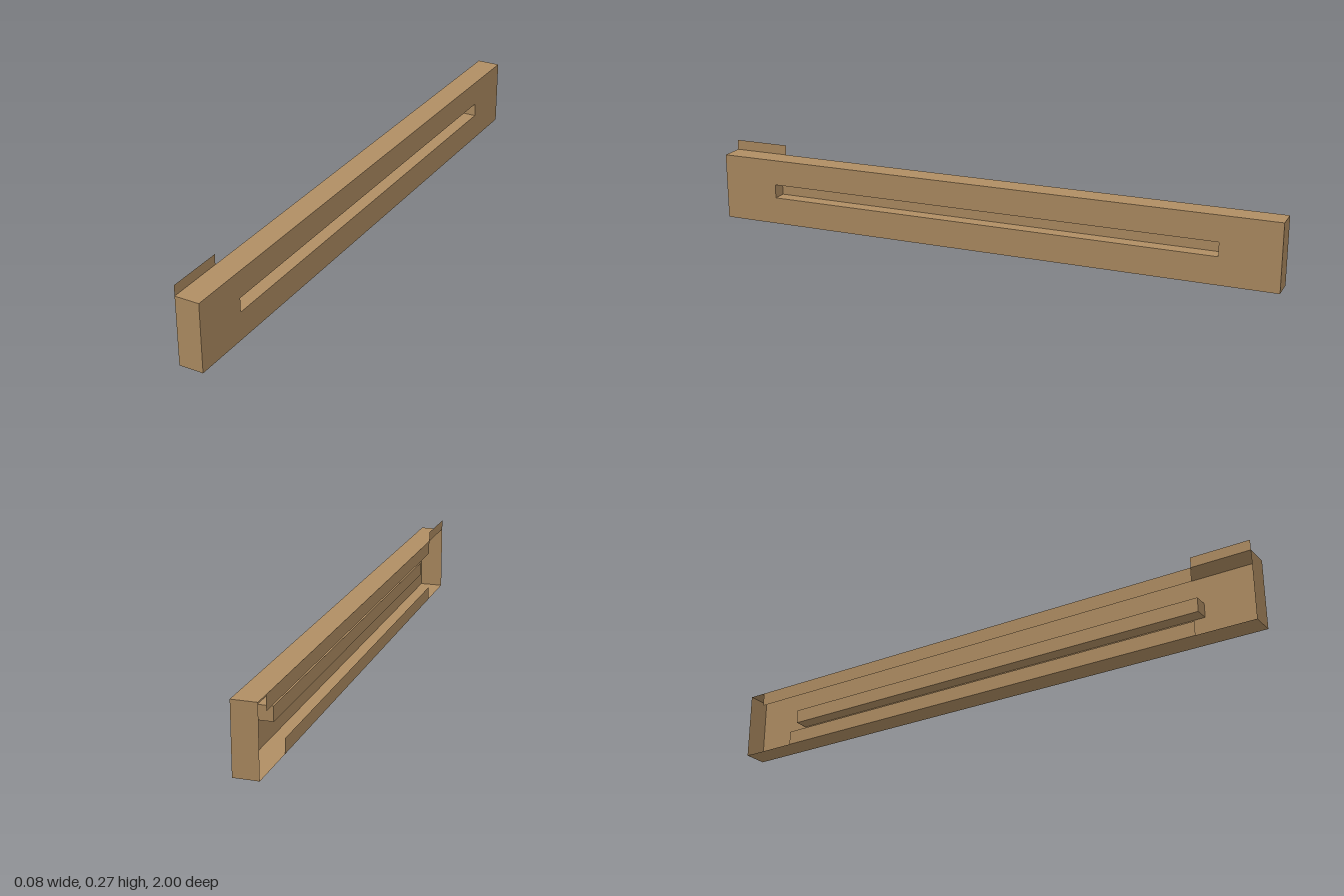
import * as THREE from 'three';

// Hollow rail: thin shell, open at the back, with a recessed slot in its face.
const X = 0.041, H = 0.232, L = 1;           // half width, height, half length
const SLOT = { y0: 0.095, y1: 0.143, z: 0.8, x: -0.008 };

export function createModel() {
  const group = new THREE.Group();
  const wood = new THREE.MeshStandardMaterial({ color: 0xb08e63, side: THREE.DoubleSide });
  wood.name = 'wood';

  const add = (name, geometry) => {
    const mesh = new THREE.Mesh(geometry, wood);
    mesh.name = name;
    group.add(mesh);
    return mesh;
  };
  // Sheets perpendicular to each axis; dir is the side the normal points to
  const sheetX = (name, x, y0, y1, z0, z1, dir) =>
    add(name, new THREE.PlaneGeometry(z1 - z0, y1 - y0).rotateY(dir * Math.PI / 2))
      .position.set(x, (y0 + y1) / 2, (z0 + z1) / 2);
  const sheetY = (name, y, x0, x1, z0, z1, dir) =>
    add(name, new THREE.PlaneGeometry(x1 - x0, z1 - z0).rotateX(-dir * Math.PI / 2))
      .position.set((x0 + x1) / 2, y, (z0 + z1) / 2);
  const sheetZ = (name, z, x0, x1, y0, y1, dir) =>
    add(name, new THREE.PlaneGeometry(x1 - x0, y1 - y0).rotateY(dir > 0 ? 0 : Math.PI))
      .position.set((x0 + x1) / 2, (y0 + y1) / 2, z);

  // Face with the slot cut through
  const rect = (C, z, y0, y1) => new C([[-z, y0], [z, y0], [z, y1], [-z, y1]]
    .map(([a, b]) => new THREE.Vector2(a, b)));
  const face = rect(THREE.Shape, L, 0, H);
  face.holes.push(rect(THREE.Path, SLOT.z, SLOT.y0, SLOT.y1));
  add('slottedFace', new THREE.ShapeGeometry(face).rotateY(Math.PI / 2)).position.x = X;

  // Outer shell
  sheetY('topWall', H, -X, X, -L, L, 1);
  sheetY('bottomWall', 0, -X, X, -L, L, -1);
  sheetZ('frontEnd', L, -X, X, 0, H, 1);
  sheetZ('backEnd', -L, -X, X, 0, H, -1);

  // Recessed slot channel
  sheetX('slotBack', SLOT.x, SLOT.y0, SLOT.y1, -SLOT.z, SLOT.z, 1);
  sheetY('slotFloor', SLOT.y0, SLOT.x, X, -SLOT.z, SLOT.z, 1);
  sheetY('slotCeiling', SLOT.y1, SLOT.x, X, -SLOT.z, SLOT.z, -1);
  for (const s of [-1, 1]) sheetZ('slotEnd', s * SLOT.z, SLOT.x, X, SLOT.y0, SLOT.y1, -s);

  // Lips along the open side and the raised tab
  sheetX('lowerLip', -X, 0, 0.048, -0.8, 0.8, -1);
  sheetX('upperLip', -X, 0.184, H, -0.94, 0.8, -1);
  sheetX('raisedTab', -X, H, 0.267, 0.8, L, -1);

  return group;
}
